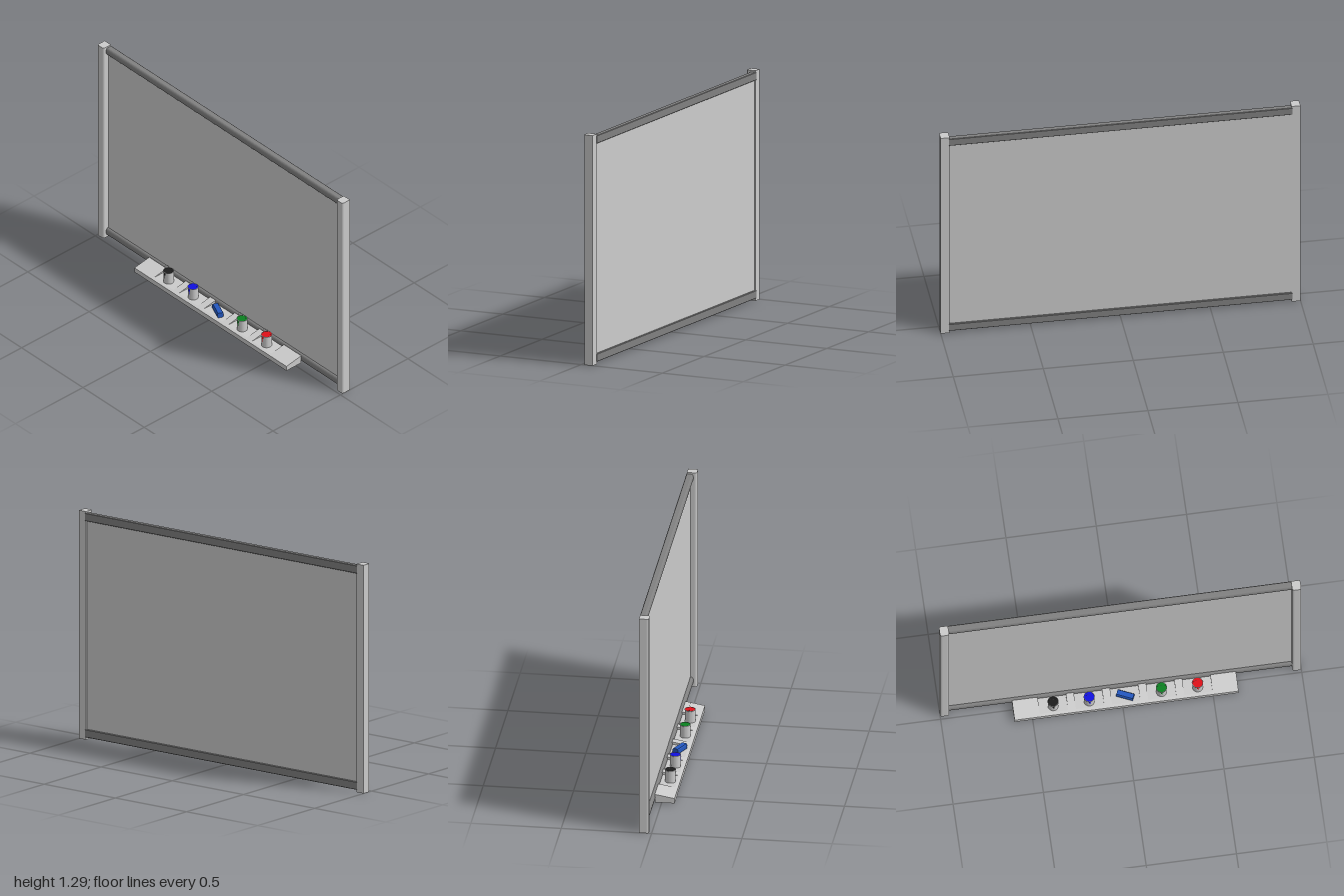
import * as THREE from 'three';

const grey = new THREE.MeshStandardMaterial({ color: 0xcccccc });
const greyOpen = new THREE.MeshStandardMaterial({ color: 0xcccccc, side: THREE.DoubleSide });
const darkGrey = new THREE.MeshStandardMaterial({ color: 0x808080 });
const paint = (color) => new THREE.MeshStandardMaterial({ color, side: THREE.DoubleSide });

function part(name, geometry, material, x = 0, y = 0, z = 0) {
  const mesh = new THREE.Mesh(geometry, material);
  mesh.name = name;
  mesh.position.set(x, y, z);
  return mesh;
}

function shapeOf(points) {
  return new THREE.Shape(points.map(([a, b]) => new THREE.Vector2(a, b)));
}

// Extrude a (z, y) profile along x, from x0 to x1
function alongX(shape, x0, x1) {
  const g = new THREE.ExtrudeGeometry(shape, { depth: x1 - x0, bevelEnabled: false, curveSegments: 10 });
  g.rotateY(-Math.PI / 2);
  g.scale(1, 1, 1);
  g.translate(x1, 0, 0); // profile x now runs along +z
  return g;
}

// Upright post with rounded front edges
function postGeometry() {
  const r = 0.012, w = 0.025, back = -0.07, front = -0.015;
  const s = new THREE.Shape();
  // drawn in (x, -z) so that the extrusion can be stood up
  s.moveTo(-w, -back);
  s.lineTo(-w, -front + r);
  s.quadraticCurveTo(-w, -front, -w + r, -front);
  s.lineTo(w - r, -front);
  s.quadraticCurveTo(w, -front, w, -front + r);
  s.lineTo(w, -back);
  const g = new THREE.ExtrudeGeometry(s, { depth: 1.29, bevelEnabled: false, curveSegments: 4 });
  return g.rotateX(-Math.PI / 2);
}

// Rail with a bulged front and a flat back
function railGeometry() {
  const s = new THREE.Shape();
  s.moveTo(-0.073, -0.02);
  s.lineTo(-0.07, -0.0225);
  s.lineTo(-0.045, -0.0225);
  s.bezierCurveTo(-0.03, -0.018, -0.03, 0.018, -0.045, 0.0225);
  s.lineTo(-0.07, 0.0225);
  s.lineTo(-0.073, 0.02);
  return alongX(s, -0.955, 0.955);
}

// Paint can with coloured top, drip and wire handle
function makeCan(name, x, color) {
  const can = new THREE.Group();
  can.name = name;
  const r = 0.029;
  const wall = [[0, 0], [r, 0], [r, 0.068], [r + 0.0015, 0.069], [r + 0.0015, 0.072], [r - 0.001, 0.072], [r - 0.001, 0.066]];
  const lathe = new THREE.LatheGeometry(wall.map(([a, b]) => new THREE.Vector2(a, b)), 28).toNonIndexed();
  lathe.computeVertexNormals();
  can.add(part('canWall', lathe, greyOpen));
  const mat = paint(color);
  can.add(part('paintSurface', new THREE.CircleGeometry(r, 28).rotateX(-Math.PI / 2), mat, 0, 0.0705, 0));
  for (const [angle, width, length] of [[-0.14, 0.16, 0.018], [0, 0.16, 0.034], [0.15, 0.14, 0.012]]) {
    const drip = new THREE.CylinderGeometry(r + 0.001, r + 0.001, length, 3, 1, true, angle - width / 2, width);
    can.add(part('drip', drip, mat, 0, 0.068 - length / 2, 0));
  }
  can.add(part('handle', new THREE.TorusGeometry(0.033, 0.0005, 5, 24, Math.PI), grey, 0, 0.072, 0));
  can.position.set(x, 0.037, 0.02);
  return can;
}

export function createModel() {
  const model = new THREE.Group();
  model.name = 'whiteboard';

  // Board and frame
  model.add(part('panel', new THREE.BoxGeometry(1.91, 1.22, 0.012), grey, 0, 0.645, -0.057));
  for (const side of [-1, 1]) {
    model.add(part(side > 0 ? 'leftPost' : 'rightPost', postGeometry(), grey, side * 0.975, 0, 0));
  }
  model.add(part('topRail', railGeometry(), darkGrey, 0, 1.259, 0));
  model.add(part('bottomRail', railGeometry(), darkGrey, 0, 0.036, 0));

  // Tray: a base with flat pockets and sloped wedges between them
  const tray = new THREE.Group();
  tray.name = 'tray';
  const back = -0.036, front = 0.073;
  const base = shapeOf([[back, 0.005], [front, 0.005], [front, 0.034], [0.056, 0.037], [back, 0.037]]);
  tray.add(part('trayBase', alongX(base, -0.6, 0.64), grey));
  const wedge = shapeOf([[back, 0.037], [0.056, 0.037], [back, 0.053]]);
  const centres = [-0.38, -0.18, 0.02, 0.22, 0.42];
  const half = 0.078;
  const edges = [-0.6, ...centres.flatMap((c) => [c - half, c + half]), 0.64];
  for (let i = 0; i < edges.length; i += 2) {
    tray.add(part('trayWedge', alongX(wedge, edges[i], edges[i + 1]), grey));
  }
  model.add(tray);

  // Paint cans
  model.add(makeCan('blackCan', centres[0], 0x1c1c1c));
  model.add(makeCan('blueCan', centres[1], 0x1010e0));
  model.add(makeCan('greenCan', centres[3], 0x0a8020));
  model.add(makeCan('redCan', centres[4], 0xe01018));

  // Eraser block with chamfered sides
  const section = shapeOf([[-0.014, 0], [0.014, 0], [0.018, 0.007], [0.018, 0.024], [0.014, 0.031], [-0.014, 0.031], [-0.018, 0.024], [-0.018, 0.007]]);
  const eraser = part('eraser', alongX(section, -0.047, 0.047), paint(0x2458c0), 0.02, 0.037, 0.018);
  eraser.rotation.y = -0.42;
  model.add(eraser);

  return model;
}
